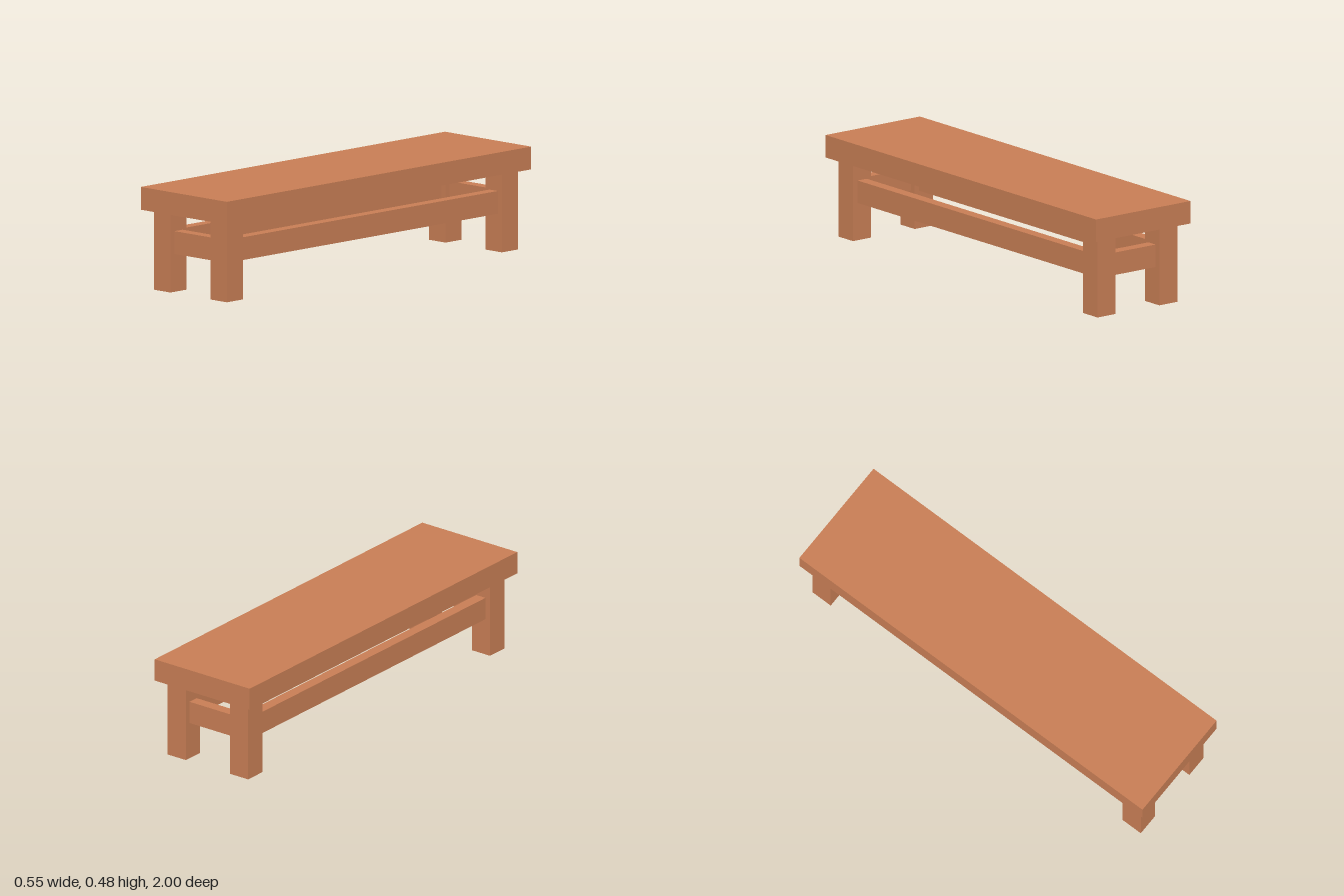
import * as THREE from 'three';

export function createModel() {
  const bench = new THREE.Group();
  bench.name = 'bench';
  const wood = new THREE.MeshStandardMaterial({ color: 0xc87e55 });
  wood.name = 'wood';

  function beam(name, w, h, d, x, y, z) {
    const mesh = new THREE.Mesh(new THREE.BoxGeometry(w, h, d), wood);
    mesh.name = name;
    mesh.position.set(x, y, z);
    bench.add(mesh);
  }

  const T = 0.1064;              // timber thickness
  const seatY = 0.3735;          // underside of the seat
  const legX = 0.181, legZ = 0.904;
  const railY = 0.23;

  // Seat slab
  beam('seat', 0.553, T, 2, 0, seatY + T / 2, 0);

  // Four square legs
  for (const [side, sx] of [['Left', 1], ['Right', -1]]) {
    for (const [end, sz] of [['front', 1], ['back', -1]]) {
      beam(`${end}${side}Leg`, T, seatY, T, sx * legX, seatY / 2, sz * legZ);
    }
  }

  // Half-thickness rails between the legs
  for (const [name, s] of [['left', 1], ['right', -1]]) {
    beam(`${name}Rail`, T / 2, T, 2 * legZ - T, s * legX, railY, 0);
  }
  for (const [name, s] of [['front', 1], ['back', -1]]) {
    beam(`${name}Rail`, 2 * legX - T, T, T / 2, 0, railY, s * legZ);
  }

  return bench;
}
